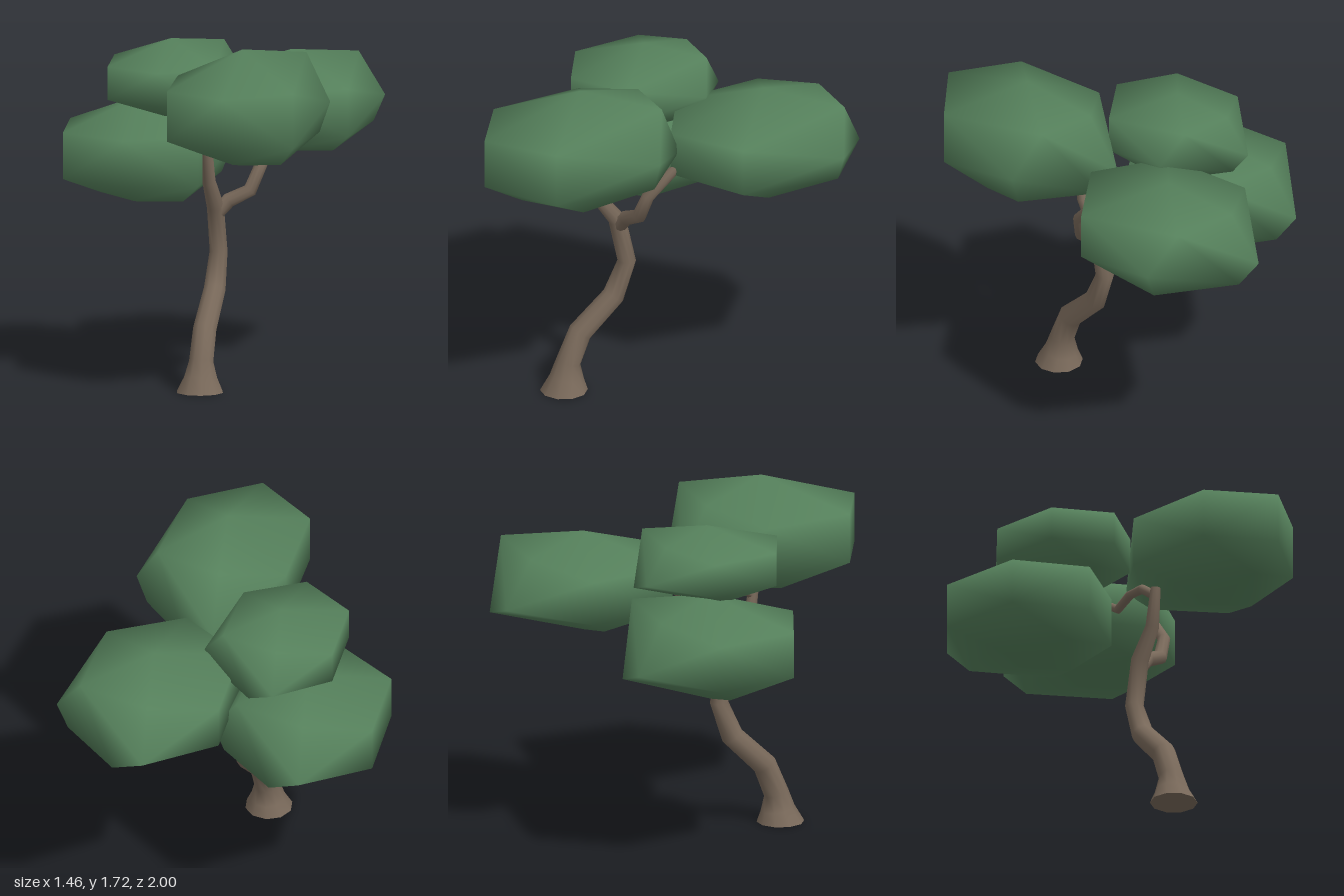
import * as THREE from 'three';
import { mergeVertices } from 'three/addons/utils/BufferGeometryUtils.js';
import { ConvexGeometry } from 'three/addons/geometries/ConvexGeometry.js';

const SIDES = 10;

// Tapered limb swept through [x, y, z, radius] stations, with flat end caps
function limbGeometry(stations) {
  const pos = [], idx = [];
  const pts = stations.map(s => new THREE.Vector3(s[0], s[1], s[2]));
  const rings = pts.map((p, i) => {
    const t = pts[Math.min(i + 1, pts.length - 1)].clone().sub(pts[Math.max(i - 1, 0)]).normalize();
    if (p.y === 0) t.set(0, 1, 0); // foot lies flat on the ground
    const u = new THREE.Vector3(1, 0, 0).addScaledVector(t, -t.x).normalize();
    const v = t.clone().cross(u);
    return Array.from({ length: SIDES }, (_, j) => {
      const a = j / SIDES * Math.PI * 2;
      return p.clone().addScaledVector(u, Math.cos(a) * stations[i][3])
        .addScaledVector(v, Math.sin(a) * stations[i][3]);
    });
  });
  rings.forEach(ring => ring.forEach(p => pos.push(p.x, p.y, p.z)));
  for (let i = 0; i < rings.length - 1; i++) {
    for (let j = 0; j < SIDES; j++) {
      const a = i * SIDES + j, b = i * SIDES + (j + 1) % SIDES;
      idx.push(a, b, a + SIDES, b, b + SIDES, a + SIDES);
    }
  }
  [0, rings.length - 1].forEach(end => {
    const c = pos.length / 3;
    [pts[end], ...rings[end]].forEach(p => pos.push(p.x, p.y, p.z));
    for (let j = 0; j < SIDES; j++) {
      const a = c + 1 + j, b = c + 1 + (j + 1) % SIDES;
      idx.push(c, ...(end ? [a, b] : [b, a]));
    }
  });
  const g = new THREE.BufferGeometry();
  g.setAttribute('position', new THREE.Float32BufferAttribute(pos, 3));
  g.setIndex(idx);
  g.computeVertexNormals();
  return g;
}

// Corners of one leaf clump, inside a unit box
const CLUMP = [
  [0.50, 1.00, 0.50], [0.81, 0.90, 0.17], [0.36, 0.84, 0.17], // crown
  [0.56, 0.71, 1.00], [0.11, 0.71, 0.835], [0.00, 0.71, 0.38], [0.95, 0.71, 0.74], // upper rim
  [0.56, 0.28, 1.00], [0.11, 0.28, 0.835], [0.00, 0.28, 0.38], [0.95, 0.24, 0.74], // lower rim
  [1.00, 0.50, 0.23], [0.93, 0.24, 0.24], [0.31, 0.38, 0.02], [0.50, 0.29, 0.00], // back rim
  [0.56, 0.10, 0.81], [0.79, 0.04, 0.56], [0.24, 0.08, 0.52], [0.49, 0.00, 0.50], // underside
];

// Leaf clump filling the box from min to max
function clumpGeometry(min, max) {
  const g = new ConvexGeometry(CLUMP.map(c =>
    new THREE.Vector3(...c.map((f, k) => min[k] + f * (max[k] - min[k])))));
  g.deleteAttribute('normal');
  const smooth = mergeVertices(g, 1e-4);
  smooth.computeVertexNormals();
  return smooth;
}

export function createModel() {
  const bark = new THREE.MeshStandardMaterial({ color: 0x7a6a5b });
  bark.name = 'bark brown';
  const leaf = new THREE.MeshStandardMaterial({ color: 0x55805b });
  leaf.name = 'leaf green';

  const tree = new THREE.Group();
  tree.name = 'tree';
  const add = (name, geometry, material) => {
    const mesh = new THREE.Mesh(geometry, material);
    mesh.name = name;
    tree.add(mesh);
  };

  // Crooked trunk and its branches
  add('trunk', limbGeometry([
    [0.14, 0, 0.485, 0.118], [0.14, 0.07, 0.47, 0.085], [0.14, 0.15, 0.462, 0.062],
    [0.14, 0.3, 0.4, 0.06], [0.14, 0.47, 0.225, 0.056], [0.14, 0.65, 0.155, 0.046],
    [0.138, 0.88, 0.205, 0.044], [0.136, 1.02, 0.31, 0.034], [0.135, 1.22, 0.34, 0.025],
  ]), bark);
  add('sideBranch', limbGeometry([
    [0.14, 0.84, 0.2, 0.036], [0.2, 0.91, 0.18, 0.038], [0.3, 0.96, 0.15, 0.036],
    [0.345, 1.08, 0.12, 0.032], [0.37, 1.19, 0.02, 0.028], [0.37, 1.26, -0.06, 0.024],
  ]), bark);
  add('twig', limbGeometry([
    [0.135, 1.18, 0.335, 0.024], [0.14, 1.26, 0.22, 0.024], [0.145, 1.27, 0.11, 0.023],
    [0.145, 1.23, 0.01, 0.022], [0.145, 1.3, -0.1, 0.02],
  ]), bark);

  // Four leaf clumps
  [
    ['frontClump', [-0.01, 1.14, -0.04], [0.725, 1.72, 1]],
    ['backClump', [-0.08, 1.055, -1], [0.725, 1.56, 0.01]],
    ['lowClump', [-0.73, 0.83, -0.575], [0.065, 1.365, 0.365]],
    ['middleClump', [-0.48, 1.28, -0.44], [0.155, 1.665, 0.35]],
  ].forEach(([name, min, max]) => add(name, clumpGeometry(min, max), leaf));

  return tree;
}
